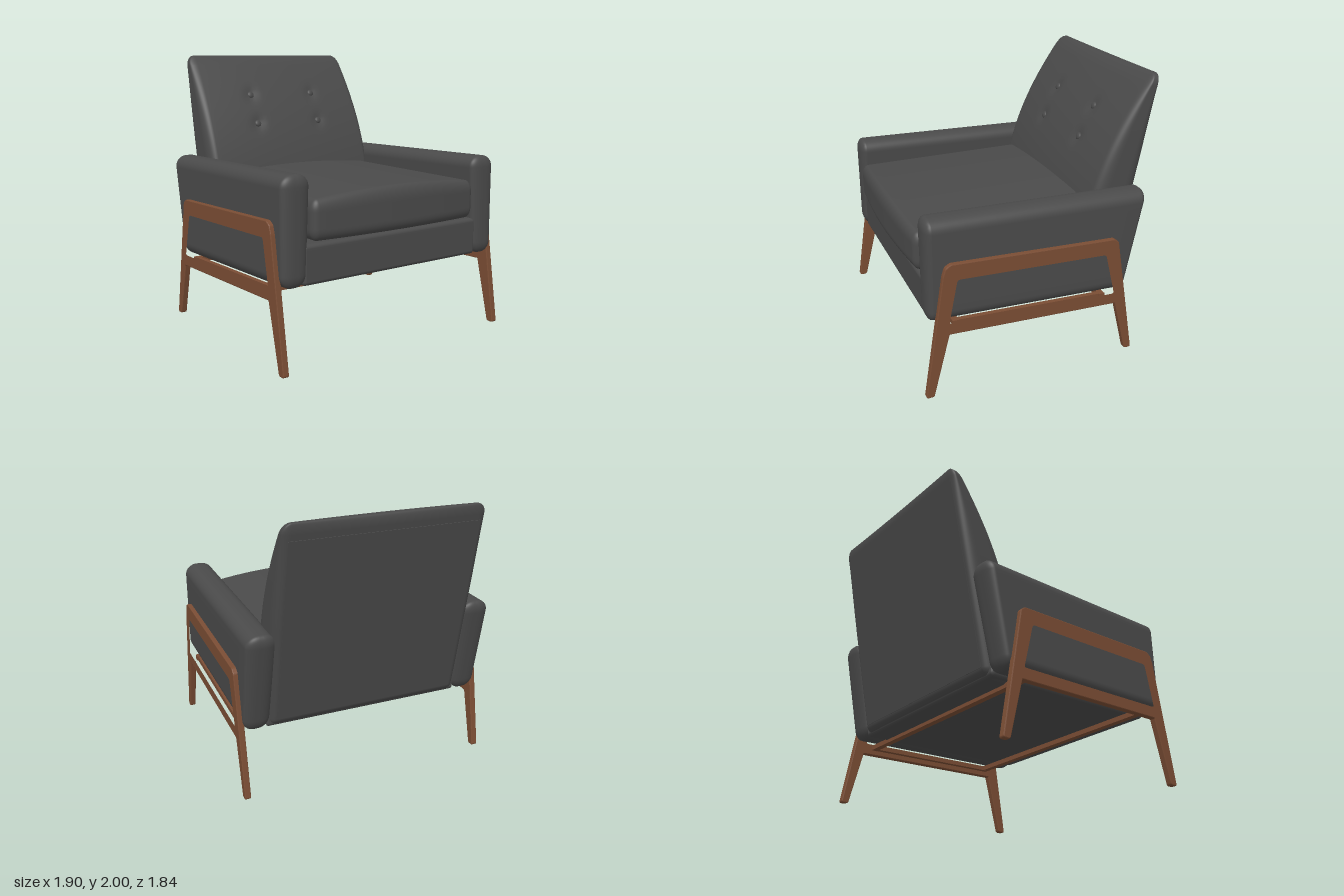
import * as THREE from 'three';
import { mergeVertices } from 'three/addons/utils/BufferGeometryUtils.js';

const lerp = THREE.MathUtils.lerp;

// Smooth rounded block with separate corner radii per axis; warp(p, uvw) reshapes it (uvw run -1..1)
function softBox(size, radii, warp, mid = 14) {
  const k = 5, n = 2 * k + mid;
  const geo = new THREE.BoxGeometry(2, 2, 2, n, n, n);
  geo.deleteAttribute('uv');
  geo.deleteAttribute('normal');
  const pos = geo.attributes.position, p = new THREE.Vector3();
  for (let i = 0; i < pos.count; i++) {
    p.fromBufferAttribute(pos, i);
    const dir = new THREE.Vector3(), inner = [];
    p.toArray().forEach((c, a) => {
      const step = Math.round((c + 1) / 2 * n);
      const t = step < k ? step / k - 1 : step > n - k ? (step - n + k) / k : 0;
      const f = THREE.MathUtils.clamp((step - k) / mid, 0, 1) * 2 - 1;
      dir.setComponent(a, Math.tan(t * Math.PI / 4));
      inner[a] = f * (size[a] / 2 - radii[a]);
    });
    dir.normalize();
    p.set(...inner.map((c, a) => c + dir.getComponent(a) * radii[a]));
    warp(p, p.toArray().map((c, a) => c / size[a] * 2));
    pos.setXYZ(i, p.x, p.y, p.z);
  }
  const out = mergeVertices(geo, 1e-5);
  out.computeVertexNormals();
  return out;
}

// Closed outline with each corner softened by a short curve
function roundedOutline(path, pts, r) {
  const v = pts.map(([z, y]) => new THREE.Vector2(-z, y));
  v.forEach((c, i) => {
    const toward = q => c.clone().add(q.clone().sub(c).setLength(r));
    const a = toward(v[(i + v.length - 1) % v.length]), b = toward(v[(i + 1) % v.length]);
    if (i) path.lineTo(a.x, a.y); else path.moveTo(a.x, a.y);
    path.quadraticCurveTo(c.x, c.y, b.x, b.y);
  });
  path.closePath();
  return path;
}

const SLOPE = 0.206;
const rearZ = y => -0.617 - SLOPE * (y - 0.48);
const baseY = z => lerp(0.485, 0.55, (z + 0.62) / 1.48);
const backThickness = y => 0.36 - 0.3 * Math.max(0, y - 1.05) ** 2;
const buttonSpots = [-0.285, 0.285].flatMap(x => [1.47, 1.69].map(y => [x, y]));

export function createModel() {
  const model = new THREE.Group();
  const fabric = new THREE.MeshStandardMaterial({ color: 0x4a4a4a });
  fabric.name = 'charcoal upholstery';
  const wood = new THREE.MeshStandardMaterial({ color: 0x7a4d34 });
  wood.name = 'walnut wood';
  const add = (name, geo, mat) => {
    const mesh = new THREE.Mesh(geo, mat);
    mesh.name = name;
    model.add(mesh);
    return mesh;
  };

  // Seat base: underside falls gently toward the back
  add('seatBase', softBox([1.5, 0.3, 1.5], [0.02, 0.03, 0.03], (p, [u, v, w]) => {
    const z0 = lerp(-0.6, 0.855, (w + 1) / 2);
    p.set(u * 0.75, lerp(baseY(z0), 0.82, (v + 1) / 2), z0);
  }), fabric);

  // Seat cushion: crowned top and bowed front
  add('seatCushion', softBox([1.4, 0.27, 1.4], [0.05, 0.075, 0.05], (p, [u, v, w]) => {
    const bow = 1 - u * u;
    p.y = 0.97 + v * 0.135 + 0.045 * bow * Math.max(0, v);
    p.z = 0.19 + w * 0.69 + 0.04 * bow * Math.max(0, w);
  }, 20), fabric);

  // Backrest: straight sloping rear, curved front with dimples at the buttons
  add('backrest', softBox([1.48, 1.52, 1], [0.06, 0.075, 0.3], (p, [u, v, w]) => {
    const y = 1.24 + v * 0.76;
    const x = u * (0.742 - 0.03 * (Math.max(0, y - 1.2) / 0.8) ** 2);
    const f = (w + 1) / 2;
    let z = rearZ(y) + f * backThickness(y) - 0.035 * u * u * f;
    for (const [bx, by] of buttonSpots) {
      z -= 0.022 * f * Math.exp(-((x - bx) ** 2 + (y - by) ** 2) / 0.002);
    }
    p.set(x, y, z);
  }, 42), fabric);

  // Flat panel on the rear of the backrest
  const panel = add('rearPanel', new THREE.BoxGeometry(1.36, 1.36, 0.008), fabric);
  panel.position.set(0, 1.22, rearZ(1.22));
  panel.rotation.x = -Math.atan(SLOPE);

  // Tufting buttons
  for (const [x, y] of buttonSpots) {
    const button = add('button', new THREE.SphereGeometry(0.027, 20, 12), fabric);
    button.scale.z = 0.5;
    button.position.set(x, y, rearZ(y) + backThickness(y) - 0.021);
    button.rotation.x = -0.45;
  }

  // Wooden side frame outline with its window
  const frame = roundedOutline(new THREE.Shape(), [
    [0.908, 0.006], [0.752, 0.976], [-0.512, 0.92], [-0.674, 0.006],
    [-0.63, 0.006], [-0.526, 0.418], [0.742, 0.472], [0.862, 0.006],
  ], 0.012);
  // Larger curves at the two upper corners
  frame.curves.length = 0;
  roundedOutline(frame, [
    [0.908, 0.006], [0.768, 0.9], [0.75, 0.955], [0.715, 0.977], [-0.485, 0.924],
    [-0.517, 0.9], [-0.674, 0.006], [-0.63, 0.006], [-0.526, 0.418],
    [0.742, 0.472], [0.862, 0.006],
  ], 0.01);
  frame.holes.push(roundedOutline(new THREE.Path(), [
    [0.675, 0.866], [-0.425, 0.82], [-0.506, 0.496], [0.739, 0.549],
  ], 0.02));

  for (const side of [-1, 1]) {
    const label = side > 0 ? 'left' : 'right';

    // Padded arm, widening inward toward its rounded top
    add(label + 'Arm', softBox([0.2, 0.74, 1.5], [0.085, 0.085, 0.045], (p, [u, v, w]) => {
      const f = (v + 1) / 2, g = (w + 1) / 2;
      const y = lerp(lerp(0.485, 0.55, g), lerp(1.235, 1.28, g), f);
      const inner = lerp(0.73, 0.7, f);
      p.x = side * lerp(inner, 0.917, (u * side + 1) / 2);
      p.y = y;
      p.z = lerp(rearZ(y) + 0.004, 0.872, g);
    }), fabric);

    // Side frame with legs
    const geo = new THREE.ExtrudeGeometry(frame, {
      depth: 0.033, bevelThickness: 0.006, bevelSize: 0.006, bevelSegments: 2, curveSegments: 4,
    });
    geo.rotateY(Math.PI / 2);
    geo.translate(side * 0.9275 - 0.0165, 0, 0);
    add(label + 'SideFrame', geo, wood);

    // Inner runner under the seat
    const runner = add(label + 'Runner', new THREE.BoxGeometry(0.035, 0.035, 1.12), wood);
    runner.position.set(side * 0.885, baseY(0.12) - 0.022, 0.12);
    runner.rotation.x = -Math.atan(0.065 / 1.48);
  }

  // Cross rails joining the side frames
  for (const [name, z, y] of [['frontRail', 0.68, 0.522], ['backRail', -0.43, 0.472]]) {
    add(name, new THREE.BoxGeometry(1.82, 0.036, 0.045), wood).position.set(0, y, z);
  }

  return model;
}
